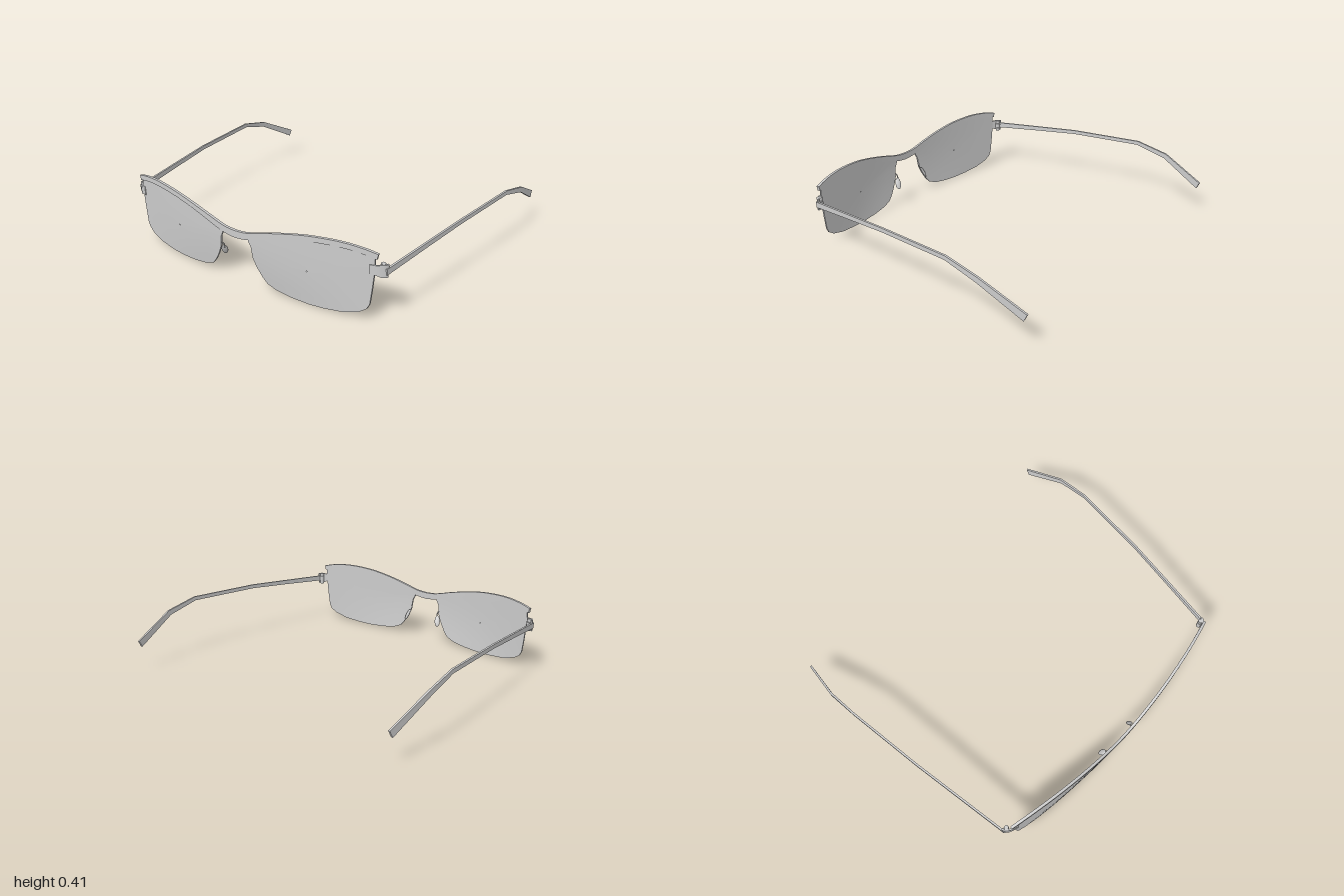
import * as THREE from 'three';
import { toCreasedNormals } from 'three/addons/utils/BufferGeometryUtils.js';

const grey = new THREE.MeshStandardMaterial({ color: 0xcccccc, side: THREE.DoubleSide });
const v3 = (x, y, z) => new THREE.Vector3(x, y, z);

// Wrap of the front: bends back towards the temples, and slightly in at the bottom
const wrapZ = (x, y) => {
  const a = Math.abs(x), q = Math.max(0, (0.3 - y) / 0.3);
  return 0.834 - 0.15 * a * a - 0.03 * q * q * (1 - a / 0.8);
};

function makeGeometry(positions, index, crease) {
  const g = new THREE.BufferGeometry();
  g.setAttribute('position', new THREE.Float32BufferAttribute(positions, 3));
  g.setIndex(index);
  return toCreasedNormals(g, crease);
}

function addMesh(group, name, geometry) {
  const mesh = new THREE.Mesh(geometry, grey);
  mesh.name = name;
  group.add(mesh);
  return mesh;
}

// Flat bar swept along points [x, y, z, height], closed at both ends
function ribbon(points, thickness) {
  const pos = [], index = [], n = points.length;
  const at = i => v3(...points[Math.min(n - 1, Math.max(0, i))].slice(0, 3));
  for (let i = 0; i < n; i++) {
    const before = at(i).sub(at(i - 1)).normalize();
    const tangent = at(i + 1).sub(at(i)).normalize().add(before).normalize();
    const side = tangent.clone().cross(v3(0, 1, 0)).normalize();
    const up = side.clone().cross(tangent);
    for (const [a, b] of [[-1, -1], [1, -1], [1, 1], [-1, 1]]) {
      const p = at(i).addScaledVector(side, a * thickness / 2).addScaledVector(up, b * points[i][3] / 2);
      pos.push(p.x, p.y, p.z);
    }
  }
  for (let i = 0; i < n - 1; i++) {
    for (let k = 0; k < 4; k++) {
      const a = i * 4 + k, b = i * 4 + (k + 1) % 4;
      index.push(a, a + 4, b, b, a + 4, b + 4);
    }
  }
  const e = (n - 1) * 4;
  index.push(0, 1, 2, 0, 2, 3, e, e + 2, e + 1, e, e + 3, e + 2);
  return makeGeometry(pos, index, 0.5);
}

// Lens outline, inner top corner first, then outwards and round the bottom
const lensOutline = [
  [0.085, 0.305], [0.2, 0.34], [0.32, 0.37], [0.46, 0.395], [0.62, 0.404], [0.74, 0.396], [0.81, 0.38],
  [0.812, 0.3], [0.8, 0.18], [0.79, 0.1], [0.775, 0.07], [0.735, 0.043], [0.65, 0.017], [0.54, 0.005],
  [0.45, 0.002], [0.34, 0.008], [0.25, 0.022], [0.195, 0.045], [0.165, 0.08], [0.135, 0.13],
  [0.113, 0.18], [0.105, 0.245], [0.09, 0.272],
];

// Thin closed lens: rings shrink to the middle on the front and on the back
function lensGeometry(s) {
  const outline = lensOutline.map(([x, y]) => new THREE.Vector2(x * s, y));
  if (s > 0) outline.reverse();
  const cx = 0.45 * s, cy = 0.2, n = outline.length, thickness = 0.01;
  const scales = [0.01, 0.25, 0.5, 0.75, 1, 1, 0.75, 0.5, 0.25, 0.01];
  const pos = [], index = [];
  scales.forEach((k, r) => {
    for (const p of outline) {
      const x = cx + (p.x - cx) * k, y = cy + (p.y - cy) * k;
      pos.push(x, y, wrapZ(x, y) - 0.004 - (r > 4 ? thickness : 0));
    }
  });
  for (let r = 0; r < scales.length - 1; r++) {
    for (let i = 0; i < n; i++) {
      const a = r * n + i, b = r * n + (i + 1) % n;
      index.push(a, a + n, b, b, a + n, b + n);
    }
  }
  return makeGeometry(pos, index, 0.7);
}

export function createModel() {
  const model = new THREE.Group();
  model.name = 'glasses';

  // Brow bar with the bridge, top edge heights from the middle outwards
  const browTop = new THREE.SplineCurve([
    [0, 0.312], [0.08, 0.319], [0.2, 0.351], [0.32, 0.38], [0.46, 0.405], [0.62, 0.415], [0.74, 0.406], [0.825, 0.388],
  ].map(p => new THREE.Vector2(...p)));
  const half = browTop.getPoints(28).map(p => {
    const h = 0.042 - 0.012 * Math.min(1, p.x / 0.3);
    return [p.x, p.y - h / 2, wrapZ(p.x, 0.3) - 0.008, h];
  });
  const mirrored = half.slice(1).reverse().map(([x, ...rest]) => [-x, ...rest]);
  addMesh(model, 'browBar', ribbon([...mirrored, ...half], 0.016));

  for (const s of [1, -1]) {
    const sideName = s > 0 ? 'left' : 'right';
    const side = new THREE.Group();
    side.name = sideName + 'Side';
    model.add(side);
    const mirror = points => points.map(([x, ...rest]) => [x * s, ...rest]);

    addMesh(side, sideName + 'Lens', lensGeometry(s));

    // End piece curling back from the lens to the hinge
    addMesh(side, sideName + 'EndPiece', ribbon(mirror([
      [0.785, 0.3, 0.737, 0.05], [0.82, 0.298, 0.727, 0.055], [0.845, 0.295, 0.713, 0.07],
      [0.858, 0.294, 0.7, 0.07], [0.861, 0.293, 0.688, 0.07],
    ]), 0.01));

    // Hinge barrel in three knuckles
    for (const [y, h, r] of [[0.268, 0.02, 0.013], [0.295, 0.028, 0.015], [0.322, 0.02, 0.013]]) {
      const knuckle = addMesh(side, sideName + 'HingeKnuckle', new THREE.CylinderGeometry(r, r, h, 12));
      knuckle.position.set(0.84 * s, y, 0.698);
    }

    // Temple arm with the bent ear end
    addMesh(side, sideName + 'Temple', ribbon(mirror([
      [0.861, 0.292, 0.705, 0.034], [0.9, 0.318, 0.4, 0.028], [0.938, 0.342, 0.1, 0.024],
      [0.983, 0.353, -0.37, 0.024], [0.99, 0.304, -0.57, 0.032], [0.955, 0.173, -0.83, 0.044],
    ]), 0.012));

    // Nose pad on its wire
    const pad = addMesh(side, sideName + 'NosePad', new THREE.SphereGeometry(1, 14, 10));
    pad.scale.set(0.008, 0.038, 0.018);
    pad.position.set(0.122 * s, 0.143, 0.786);
    pad.rotation.set(0, 1.0 * s, 0.48 * s);
    const wire = new THREE.CatmullRomCurve3([
      v3(0.112 * s, 0.205, 0.82), v3(0.106 * s, 0.19, 0.808), v3(0.11 * s, 0.165, 0.798), v3(0.12 * s, 0.148, 0.788),
    ]);
    addMesh(side, sideName + 'NosePadWire', new THREE.TubeGeometry(wire, 10, 0.004, 6));
  }
  return model;
}
